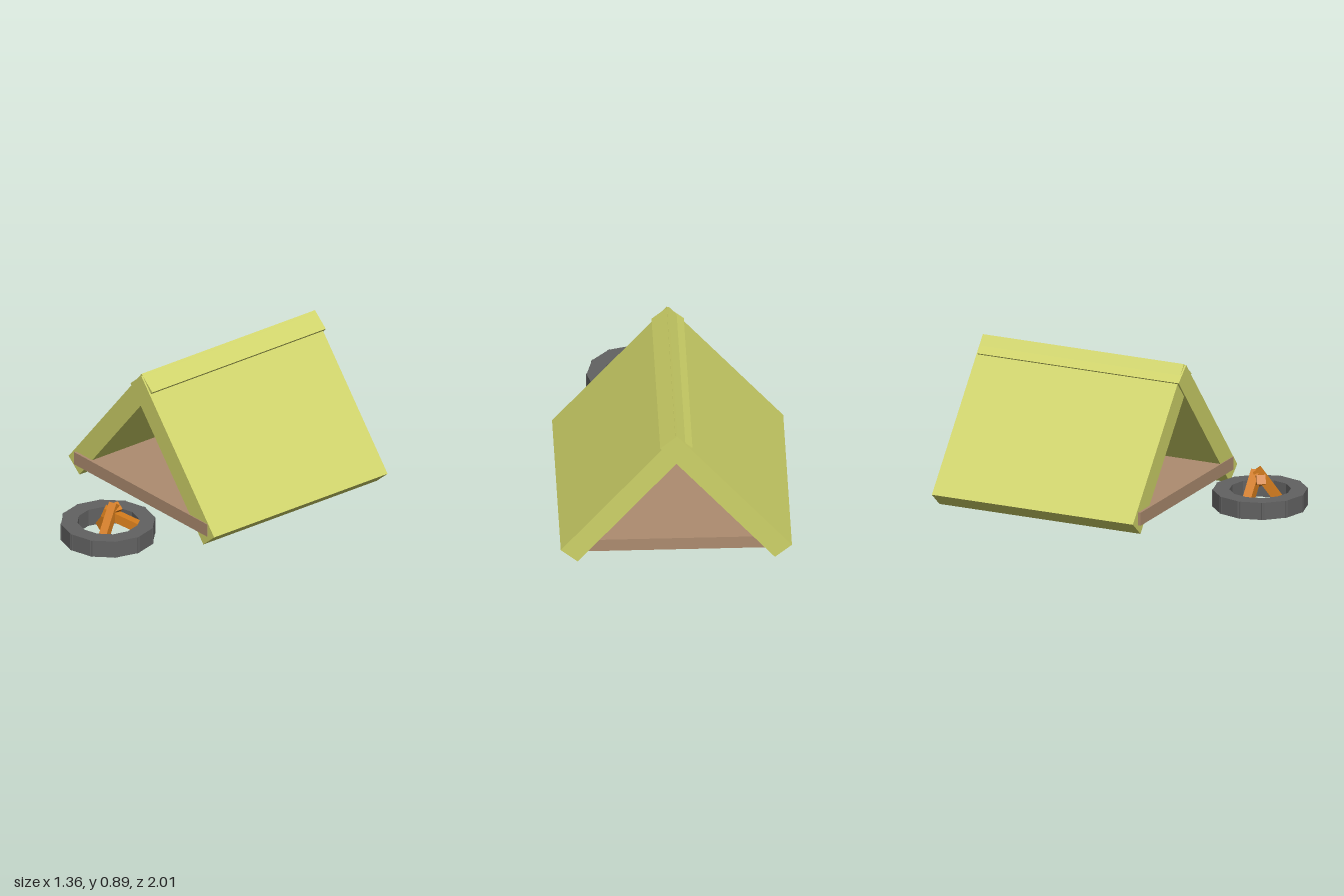
import * as THREE from 'three';

const material = (color) => new THREE.MeshStandardMaterial({ color, flatShading: true });

function box(name, size, position, mat) {
  const mesh = new THREE.Mesh(new THREE.BoxGeometry(...size), mat);
  mesh.name = name;
  mesh.position.set(...position);
  return mesh;
}

// Square beam running between two points
function beam(name, from, to, width, mat) {
  const a = new THREE.Vector3(...from), b = new THREE.Vector3(...to);
  const mesh = box(name, [width, width, a.distanceTo(b)], a.clone().add(b).multiplyScalar(0.5).toArray(), mat);
  mesh.lookAt(b);
  return mesh;
}

export function createModel() {
  const model = new THREE.Group();
  model.name = 'campsite';
  const canvas = material(0xcfd368), wood = material(0xad8c70);
  const stone = material(0x626262), log = material(0xd47c1c);

  // Tent: two thick slabs crossing at the ridge, slightly offset from each other
  const tent = new THREE.Group();
  tent.name = 'tent';
  const slope = Math.atan2(0.8, 0.675);
  for (const [name, side, y, z] of [['rightRoof', -1, 0.452, -0.34], ['leftRoof', 1, 0.444, -0.33]]) {
    const roof = box(name, [1.047, 0.131, 1.32], [side * 0.2925, y, z], canvas);
    roof.rotation.z = -side * slope;
    tent.add(roof);
  }
  tent.add(box('tentFloor', [1.23, 0.08, 1.32], [0.005, 0.11, -0.325], wood));
  model.add(tent);

  // Fire ring: overlapping stone blocks around a circle
  const ring = new THREE.Group();
  ring.name = 'fireRing';
  ring.position.set(0.181, 0.078, 0.728);
  const count = 12;
  for (let i = 0; i < count; i++) {
    const a = ((i + 0.5) / count) * Math.PI * 2;
    const block = box('ringStone', [0.16, 0.105, 0.095], [Math.sin(a) * 0.2235, 0, Math.cos(a) * 0.2235], stone);
    block.rotation.y = a;
    ring.add(block);
  }
  model.add(ring);

  // Firewood: three logs leaning together
  const fire = new THREE.Group();
  fire.name = 'firewood';
  fire.add(
    beam('sideLog', [0.075, 0.045, 0.69], [0.215, 0.225, 0.69], 0.055, log),
    beam('frontLog', [0.25, 0.045, 0.83], [0.2, 0.24, 0.695], 0.05, log),
    beam('backLog', [0.32, 0.115, 0.62], [0.16, 0.195, 0.745], 0.055, log)
  );
  model.add(fire);
  return model;
}
